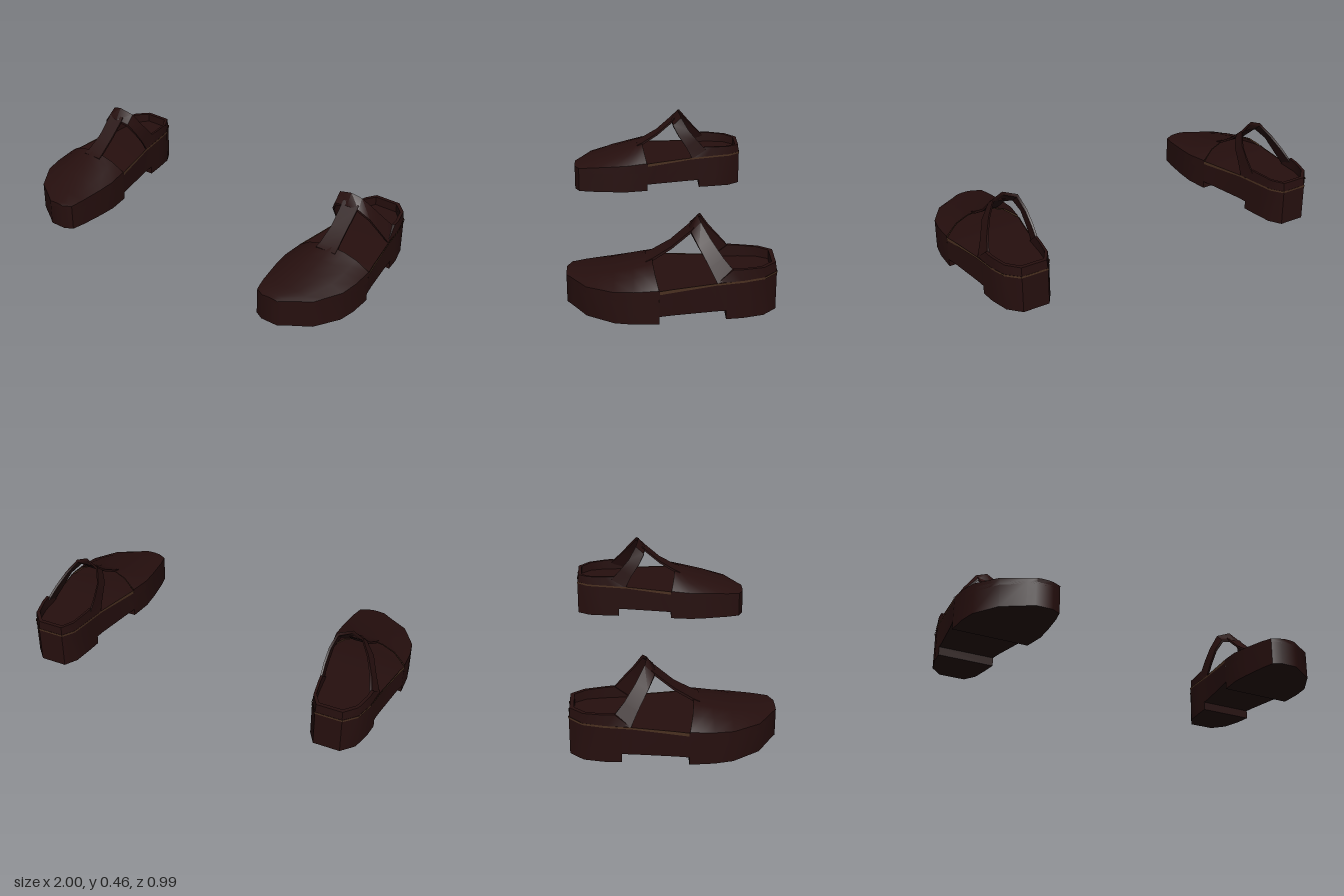
import * as THREE from 'three';
import { toCreasedNormals } from 'three/addons/utils/BufferGeometryUtils.js';

// Plan outline of the left shoe: z, inner x, outer x (back to toe)
const OUTLINE = [
  [-0.495, 0.72, 0.86], [-0.43, 0.68, 0.92], [-0.33, 0.665, 0.945], [-0.2, 0.65, 0.957],
  [0, 0.61, 0.985], [0.07, 0.595, 0.998], [0.18, 0.58, 0.992], [0.27, 0.585, 0.975],
  [0.4, 0.6, 0.895], [0.47, 0.615, 0.785], [0.495, 0.66, 0.75],
];
const CROWN = [[0.065, 0.262], [0.09, 0.26], [0.2, 0.225], [0.35, 0.185], [0.495, 0.152]];
const WALL = [[0.065, 0.18], [0.35, 0.16], [0.495, 0.148]];
const SOLE_TOP = [[-0.495, 0.2], [-0.21, 0.19], [0.065, 0.175], [0.2, 0.15], [0.495, 0.13]];

// Linear lookup in a table sorted by its first column
function look(table, z, col = 1) {
  let i = 0;
  while (i < table.length - 2 && z > table[i + 1][0]) i++;
  const a = table[i], b = table[i + 1];
  const t = THREE.MathUtils.clamp((z - a[0]) / (b[0] - a[0]), 0, 1);
  return a[col] + (b[col] - a[col]) * t;
}
const inner = (z) => look(OUTLINE, z, 1);
const outer = (z) => look(OUTLINE, z, 2);

// Skin over rings of [x, y, z] points; side = -1 mirrors the part
function loft(rings, side, { closed = true, capStart = true, capEnd = true } = {}) {
  const n = rings[0].length, pos = [], idx = [];
  rings.forEach((r) => r.forEach(([x, y, z]) => pos.push(x * side, y, z)));
  const tri = (a, b, c) => (side > 0 ? idx.push(a, b, c) : idx.push(a, c, b));
  for (let i = 0; i < rings.length - 1; i++) {
    for (let j = 0; j < (closed ? n : n - 1); j++) {
      const k = (j + 1) % n, a = i * n, d = a + n;
      tri(a + j, a + k, d + k);
      tri(a + j, d + k, d + j);
    }
  }
  const last = (rings.length - 1) * n;
  for (let j = 1; j < n - 1; j++) {
    if (capStart) tri(0, j + 1, j);
    if (capEnd) tri(last, last + j, last + j + 1);
  }
  const g = new THREE.BufferGeometry();
  g.setAttribute('position', new THREE.Float32BufferAttribute(pos, 3));
  g.setIndex(idx);
  return toCreasedNormals(g, 0.7);
}

function makeShoe(side, leather, welt) {
  const shoe = new THREE.Group();
  const add = (name, geometry, material) => {
    const m = new THREE.Mesh(geometry, material);
    m.name = name;
    shoe.add(m);
  };

  // Sole with raised arch between heel block and forepart
  const stations = [
    [-0.495, 0], [-0.43, 0], [-0.33, 0], [-0.25, 0], [-0.25, 0.045], [-0.2, 0.045], [0, 0.045],
    [0.062, 0.045], [0.062, 0.005], [0.18, 0.005], [0.27, 0.005], [0.4, 0.005], [0.47, 0.005], [0.495, 0.005],
  ];
  add('sole', loft(stations.map(([z, y]) => {
    const l = inner(z), r = outer(z), t = look(SOLE_TOP, z);
    return [[l, y, z], [r, y, z], [r, t, z], [l, t, z]];
  }), side), leather);

  // Domed toe cover, open at the back with a slanted edge
  const F = [1, 1, 0.84, 0.67, 0.5, 0.33, 0.16, 0, 0];
  const H = [-1, 0, 0.62, 0.92, 1, 0.92, 0.62, 0, -1];
  const vampRing = (z, slant) => F.map((f, j) => {
    const l = inner(z), r = outer(z), w = look(WALL, z), c = look(CROWN, z);
    const y = H[j] < 0 ? 0.12 : w + (c - w) * H[j];
    return [l + (r - l) * f, y, z + (slant ? Math.max(H[j], 0) * 0.025 : 0)];
  });
  const vampRings = [0.065, 0.13, 0.18, 0.27, 0.35, 0.4, 0.47, 0.495].map((z, i) => vampRing(z, i === 0));
  add('toeCover', loft(vampRings, side, { closed: false, capStart: false }), leather);

  // Pale cut edge around the toe cover opening
  const edge = vampRings[0].map(([x, y, z]) => [x, y, z - 0.001]);
  const inset = edge.map(([x, y, z]) => [0.8 + (x - 0.8) * 0.965, y - 0.007, z + 0.004]);
  add('openingEdge', loft([inset, edge], side, { closed: false, capStart: false, capEnd: false }), welt);

  // Heel counter wrapping round the back
  const zs = [-0.21, -0.28, -0.33, -0.43, -0.495];
  const column = (x, z) => {
    const p = (k, y, dz = 0) => [0.79 + (x - 0.79) * k, y, -0.3 + (z + dz + 0.3) * (z < -0.4 ? k : 1)];
    const front = z > -0.25;
    const top = front ? 0.192 : 0.252 + (z + 0.28) * 0.03;
    return [p(1, 0.18), p(0.97, top), p(0.87, top), p(0.87, 0.17)];
  };
  add('heelCounter', loft([
    ...zs.map((z) => column(inner(z), z)),
    ...zs.slice().reverse().map((z) => column(outer(z), z)),
  ], side), leather);

  // Ankle strap arching over the instep: back edge and front edge points
  const arch = [
    [[0.662, 0.235, -0.29], [0.65, 0.185, -0.208]],
    [[0.66, 0.3, -0.235], [0.655, 0.255, -0.172]],
    [[0.665, 0.36, -0.185], [0.662, 0.33, -0.125]],
    [[0.69, 0.43, -0.143], [0.69, 0.385, -0.095]],
    [[0.765, 0.457, -0.125], [0.765, 0.4, -0.088]],
    [[0.82, 0.44, -0.137], [0.83, 0.395, -0.092]],
    [[0.87, 0.375, -0.18], [0.882, 0.34, -0.125]],
    [[0.912, 0.3, -0.235], [0.92, 0.255, -0.172]],
    [[0.938, 0.235, -0.29], [0.955, 0.185, -0.208]],
  ];
  const inward = ([x, y, z]) => [x + (0.785 - x) * 0.08, y + (0.22 - y) * 0.07, z];
  add('ankleStrap', loft(arch.map(([b, f]) => [b, f, inward(f), inward(b)]), side), leather);

  // Centre strap from ankle strap down to the toe cover
  const centre = [[-0.105, 0.415, 0.045], [-0.09, 0.398, 0.045], [0, 0.318, 0.043], [0.09, 0.262, 0.05], [0.12, 0.25, 0.055]];
  add('centreStrap', loft(centre.map(([z, y, w]) => {
    const l = 0.778 - w, r = 0.778 + w;
    return [[l, y - 0.014, z], [r, y - 0.014, z], [r, y, z], [l, y, z]];
  }), side), leather);

  // Thin welt strip along the top of the sole, tapering to the back
  const weltRows = [[0.06, 0.16, 0.178], [0, 0.164, 0.181], [-0.2, 0.181, 0.191], [-0.33, 0.187, 0.197], [-0.43, 0.19, 0.2], [-0.495, 0.192, 0.202]];
  const strip = (x, out, [z, lo, hi]) => {
    const zz = z < -0.4 ? z - 0.002 : z;
    return [[x + out, lo, zz], [x + out, hi, zz]];
  };
  add('welt', loft([
    ...weltRows.map((r) => strip(inner(r[0]), -0.003, r)),
    ...weltRows.slice().reverse().map((r) => strip(outer(r[0]), 0.003, r)),
  ], side, { closed: false, capStart: false, capEnd: false }), welt);
  return shoe;
}

export function createModel() {
  const leather = new THREE.MeshStandardMaterial({ color: 0x260f0e, side: THREE.DoubleSide });
  leather.name = 'darkLeather';
  const welt = new THREE.MeshStandardMaterial({ color: 0x4a3020, side: THREE.DoubleSide });
  welt.name = 'brownWelt';
  const model = new THREE.Group();
  model.name = 'strappedShoes';
  for (const [name, side] of [['leftShoe', 1], ['rightShoe', -1]]) {
    const shoe = makeShoe(side, leather, welt);
    shoe.name = name;
    model.add(shoe);
  }
  return model;
}
